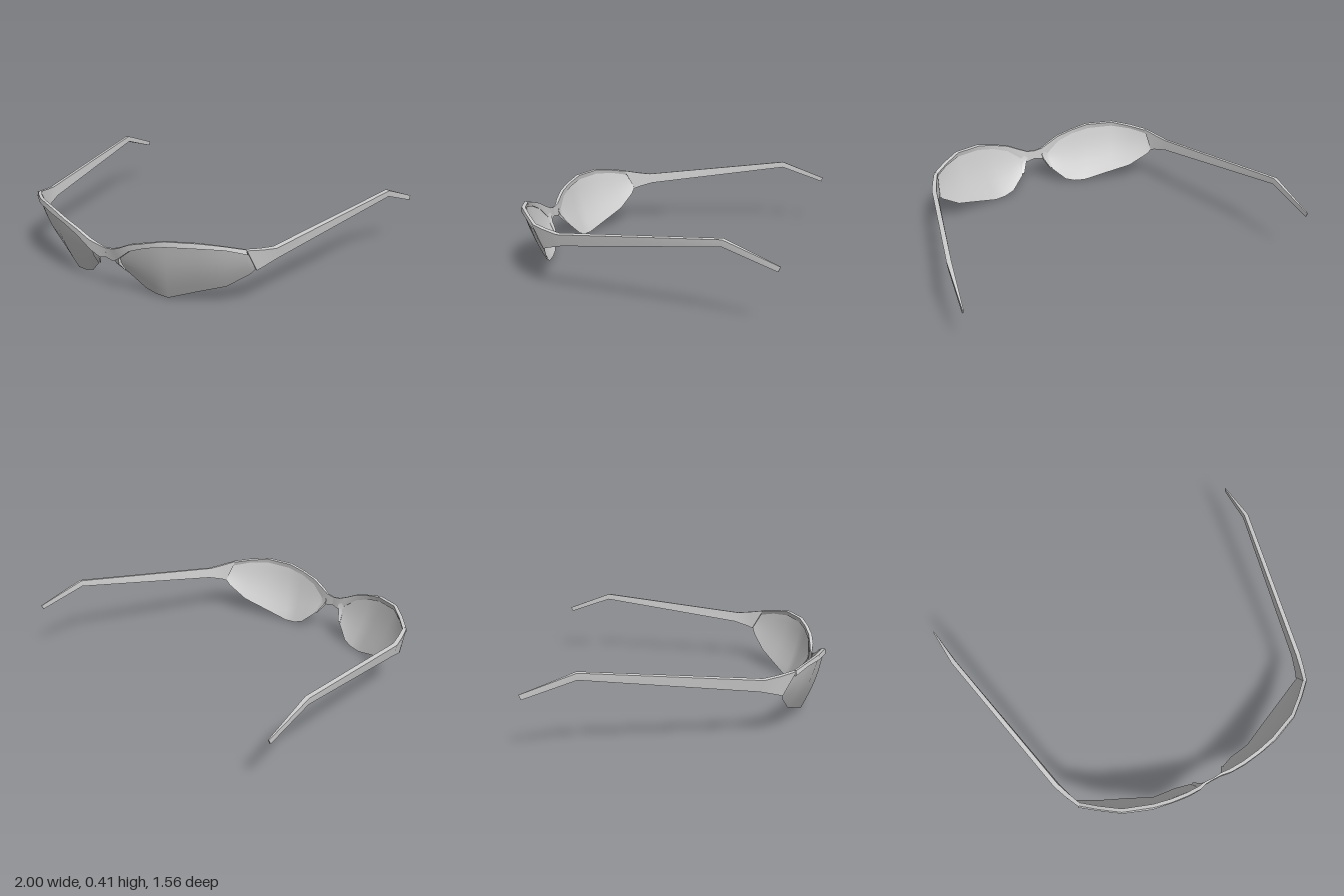
import * as THREE from 'three';
import { toCreasedNormals } from 'three/addons/utils/BufferGeometryUtils.js';

const material = new THREE.MeshStandardMaterial({ color: 0xcccccc, side: THREE.DoubleSide });

// Stations: upper edge x,y,z, lower edge x,y,z, thickness
const BROW = [
  [0, 0.235, 0.757, 0, 0.182, 0.753, 0.008],
  [0.05, 0.243, 0.757, 0.05, 0.172, 0.75, 0.014],
  [0.1, 0.263, 0.768, 0.1, 0.205, 0.762, 0.02],
  [0.18, 0.303, 0.772, 0.18, 0.268, 0.772, 0.02],
  [0.28, 0.333, 0.764, 0.28, 0.308, 0.764, 0.02],
  [0.38, 0.36, 0.745, 0.39, 0.333, 0.747, 0.02],
  [0.54, 0.37, 0.686, 0.54, 0.344, 0.69, 0.02],
  [0.64, 0.354, 0.61, 0.645, 0.335, 0.612, 0.02],
  [0.72, 0.335, 0.54, 0.728, 0.31, 0.54, 0.02],
];
const TEMPLE = [
  [0.722, 0.335, 0.545, 0.738, 0.212, 0.477, 0.02],
  [0.757, 0.32, 0.46, 0.752, 0.224, 0.45, 0.024],
  [0.785, 0.31, 0.38, 0.78, 0.25, 0.36, 0.026],
  [0.97, 0.405, -0.51, 0.967, 0.37, -0.51, 0.024],
  [0.997, 0.305, -0.78, 0.997, 0.28, -0.77, 0.006],
];
const NOSE = [
  [0.1, 0.24, 0.766, 0.05, 0.2, 0.752, 0.016],
  [0.09, 0.17, 0.752, 0.063, 0.165, 0.742, 0.014],
  [0.107, 0.113, 0.71, 0.094, 0.11, 0.702, 0.006],
];
// Lens columns: top point, bottom point
const LENS = [
  [0.085, 0.18, 0.745, 0.09, 0.14, 0.735],
  [0.11, 0.225, 0.762, 0.11, 0.1, 0.7],
  [0.18, 0.28, 0.768, 0.19, 0.025, 0.665],
  [0.29, 0.315, 0.762, 0.25, 0.005, 0.655],
  [0.39, 0.34, 0.745, 0.32, 0, 0.645],
  [0.54, 0.35, 0.69, 0.47, 0.055, 0.582],
  [0.64, 0.34, 0.615, 0.6, 0.1, 0.53],
  [0.72, 0.325, 0.55, 0.71, 0.18, 0.487],
  [0.742, 0.28, 0.507, 0.738, 0.215, 0.478],
];

const upper = (s) => new THREE.Vector3(s[0], s[1], s[2]);
const lower = (s) => new THREE.Vector3(s[3], s[4], s[5]);

// Skin rows of points; side = -1 mirrors the part and keeps faces outward
function skin(rows, side, closed) {
  const n = rows[0].length;
  const index = [];
  const tri = (a, b, c) => (side > 0 ? index.push(a, b, c) : index.push(a, c, b));
  for (let i = 0; i < rows.length - 1; i++) {
    for (let j = 0; j < (closed ? n : n - 1); j++) {
      const k = (j + 1) % n;
      const a = i * n + j, b = i * n + k;
      tri(a, b, b + n);
      tri(a, b + n, a + n);
    }
  }
  if (closed) {
    const e = (rows.length - 1) * n;
    tri(0, 2, 1); tri(0, 3, 2);
    tri(e, e + 1, e + 2); tri(e, e + 2, e + 3);
  }
  const g = new THREE.BufferGeometry();
  const pos = rows.flat().flatMap((p) => [p.x * side, p.y, p.z]);
  g.setAttribute('position', new THREE.Float32BufferAttribute(pos, 3));
  g.setIndex(index);
  g.computeVertexNormals();
  return g;
}

// Four-sided bar following the stations
function bar(name, stations, side) {
  const mids = stations.map((s) => upper(s).add(lower(s)).multiplyScalar(0.5));
  const rows = stations.map((s, i) => {
    const a = upper(s), b = lower(s);
    const tangent = mids[Math.min(i + 1, mids.length - 1)].clone().sub(mids[Math.max(i - 1, 0)]);
    const out = tangent.cross(a.clone().sub(b)).setLength(s[6] / 2);
    return [a.clone().add(out), b.clone().add(out), b.clone().sub(out), a.clone().sub(out)];
  });
  const mesh = new THREE.Mesh(toCreasedNormals(skin(rows, side, true), 0.9), material);
  mesh.name = name;
  return mesh;
}

// Thin lens, slightly bowed outward between its top and bottom edges
function lens(name, side) {
  const steps = 6;
  const rows = LENS.map((s, i) => {
    const a = upper(s), b = lower(s);
    const bow = 0.016 * Math.sin((Math.PI * i) / (LENS.length - 1));
    return Array.from({ length: steps + 1 }, (_, j) => {
      const p = a.clone().lerp(b, j / steps);
      const out = new THREE.Vector3(p.x, 0, p.z).setLength(bow * Math.sin((Math.PI * j) / steps));
      return p.add(out);
    });
  });
  const mesh = new THREE.Mesh(skin(rows, side, false), material);
  mesh.name = name;
  return mesh;
}

export function createModel() {
  const model = new THREE.Group();
  model.name = 'sunglasses';
  for (const [label, side] of [['left', 1], ['right', -1]]) {
    model.add(
      lens(label + 'Lens', side),
      bar(label + 'BrowFrame', BROW, side),
      bar(label + 'NoseRim', NOSE, side),
      bar(label + 'Temple', TEMPLE, side),
    );
  }
  return model;
}
